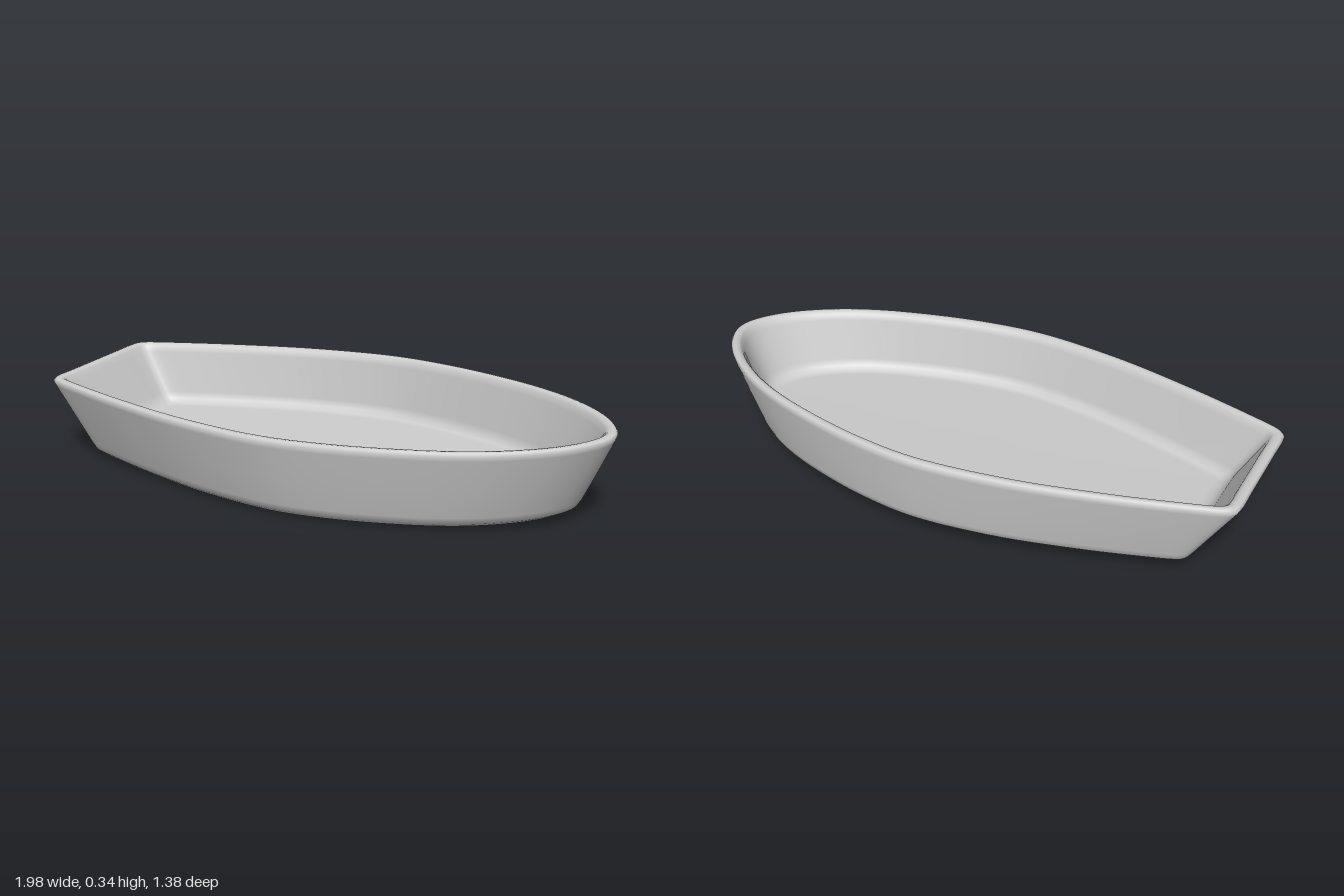
import * as THREE from 'three';

// Closed boat outline: x runs 0..1 from stern to bow, y is the half-width as a share of the widest point
function boatOutline(samples) {
  const half = [[0, 0], [0, 0.25], [0, 0.44], [0.003, 0.5], [0.014, 0.545], [0.071, 0.63], [0.2, 0.79],
    [0.352, 0.935], [0.502, 1], [0.614, 0.955], [0.748, 0.82], [0.846, 0.665], [0.933, 0.434], [0.985, 0.19], [1, 0]];
  const other = half.slice(1, -1).reverse().map(([u, w]) => [u, -w]);
  const points = [...half, ...other].map(([u, w]) => new THREE.Vector3(u, w, 0));
  const curve = new THREE.CatmullRomCurve3(points, true, 'centripetal');
  return Array.from({ length: samples }, (_, i) => curve.getPoint(i / samples));
}

// Cross-sections as [height, stern x, bow x, half-width]: underside, outer wall, lip, inner wall, floor
const rings = [
  [0, 0.1, 0.1, 0],
  [0, -0.78, 0.93, 0.42],
  [0.006, -0.81, 0.965, 0.445],
  [0.02, -0.832, 0.99, 0.462],
  [0.045, -0.848, 1.005, 0.471],
  [0.15, -0.912, 1.055, 0.494],
  [0.26, -0.98, 1.105, 0.517],
  [0.276, -0.988, 1.11, 0.519],
  [0.285, -0.98, 1.104, 0.512],
  [0.288, -0.968, 1.092, 0.5],
  [0.286, -0.954, 1.079, 0.487],
  [0.277, -0.944, 1.069, 0.477],
  [0.255, -0.932, 1.057, 0.47],
  [0.1, -0.845, 0.99, 0.446],
  [0.075, -0.828, 0.975, 0.438],
  [0.06, -0.805, 0.955, 0.422],
  [0.055, -0.775, 0.93, 0.4],
  [0.055, 0.1, 0.1, 0],
];
const RIM = 0.287;

function hullGeometry() {
  const outline = boatOutline(168);
  const n = outline.length;
  const positions = [], index = [];
  rings.forEach(([h, stern, bow, width], j) => {
    outline.forEach((p, i) => {
      positions.push(stern + (bow - stern) * p.x, h - RIM, width * p.y);
      if (j === rings.length - 1) return;
      const a = j * n + i, b = j * n + (i + 1) % n;
      if (j > 0) index.push(a, b, b + n);
      if (j < rings.length - 2) index.push(a, b + n, a + n);
    });
  });
  const geometry = new THREE.BufferGeometry();
  geometry.setAttribute('position', new THREE.Float32BufferAttribute(positions, 3));
  geometry.setIndex(index);
  geometry.computeVertexNormals();
  return geometry;
}

export function createModel() {
  const group = new THREE.Group();
  group.name = 'boatDish';
  const hull = new THREE.Mesh(hullGeometry(), new THREE.MeshStandardMaterial({ color: 0xcccccc }));
  hull.name = 'hull';

  // Turn the bow to the front left, then lean the whole dish slightly
  const up = new THREE.Vector3(0, 1, 0);
  const lean = new THREE.Vector3(-0.028, 1, 0.055).normalize();
  const yaw = new THREE.Quaternion().setFromAxisAngle(up, -0.496);
  hull.quaternion.setFromUnitVectors(up, lean).multiply(yaw);
  hull.position.set(-0.006, 0.317, 0.011);
  group.add(hull);
  return group;
}
